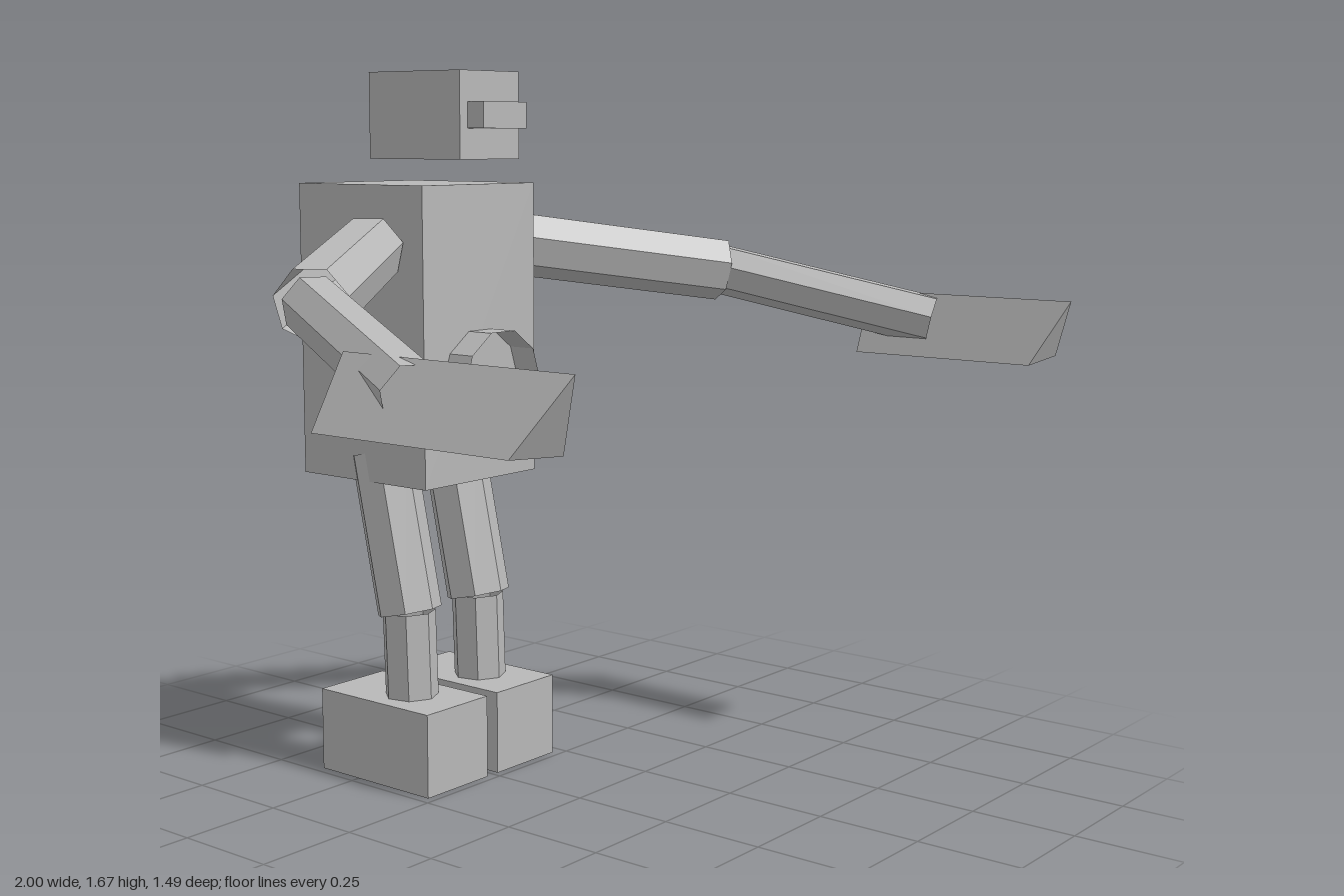
import * as THREE from 'three';
import { ConvexGeometry } from 'three/addons/geometries/ConvexGeometry.js';

const V = (x, y, z) => new THREE.Vector3(x, y, z);

export function createModel() {
  const model = new THREE.Group();
  model.name = 'robot';
  const grey = new THREE.MeshStandardMaterial({
    color: 0xb8b8b8, name: 'plain grey', flatShading: true, side: THREE.DoubleSide,
  });

  const add = (name, geometry) => {
    const mesh = new THREE.Mesh(geometry, grey);
    mesh.name = name;
    model.add(mesh);
    return mesh;
  };

  // Box given by its low and high corners
  const box = (name, lo, hi) => {
    const size = hi.clone().sub(lo);
    add(name, new THREE.BoxGeometry(size.x, size.y, size.z))
      .position.copy(lo).add(hi).multiplyScalar(0.5);
  };

  // Open faceted tube from a to b, with one ridge pointing towards "ridge"
  const tube = (name, a, b, radius, sides, ridge) => {
    const y = b.clone().sub(a);
    const length = y.length();
    y.normalize();
    const x = y.clone().cross(ridge).normalize();
    const z = x.clone().cross(y);
    const mesh = add(name, new THREE.CylinderGeometry(radius, radius, length, sides, 1, true));
    mesh.quaternion.setFromRotationMatrix(new THREE.Matrix4().makeBasis(x, y, z));
    mesh.position.copy(a).add(b).multiplyScalar(0.5);
  };

  // Head, torso and the boxes on them
  box('head', V(-0.103, 1.47, -0.553), V(0.098, 1.67, -0.265));
  box('snout', V(-0.077, 1.54, -0.265), V(0.071, 1.6, -0.217));
  box('torso', V(-0.194, 0.72, -0.7), V(0.188, 1.413, -0.298));
  box('backpack', V(-0.135, 0.87, -0.745), V(0.129, 1.3, -0.7));
  tube('bellyRing', V(-0.003, 0.951, -0.298), V(-0.003, 0.951, -0.227), 0.13, 10, V(1, 0, 0));

  for (const s of [1, -1]) {
    const side = s > 0 ? 'left' : 'right';

    // Leg and foot
    const x = s * 0.121 - 0.003;
    tube(side + 'Thigh', V(x, 0.404, -0.425), V(x, 0.783, -0.507), 0.079, 7, V(0, 0, 1));
    tube(side + 'Shin', V(x, 0.1, -0.417), V(x, 0.405, -0.427), 0.065, 7, V(0, 0, 1));
    box(side + 'Foot', V(x - 0.103, 0, -0.622), V(x + 0.103, 0.2, -0.27));

    // Arm reaching forwards
    const elbow = V(s * 0.702, 1.19, -0.117);
    tube(side + 'UpperArm', V(s * 0.24, 1.267, -0.42), elbow, 0.08, 7, V(0, -1, 0));
    tube(side + 'Forearm', elbow, V(s * 0.92, 1.07, 0.375), 0.064, 7, V(0, -1, 0));

    // Wedge hand: triangular prism with a raked tip
    const hand = [];
    for (const [hx, hy, tip] of [[0.917, 1.137, 0.745], [1, 0.996, 0.67], [0.858, 0.985, 0.67]]) {
      hand.push(V(s * hx, hy, 0.197), V(s * hx, hy, tip));
    }
    add(side + 'Hand', new ConvexGeometry(hand));
  }
  return model;
}
